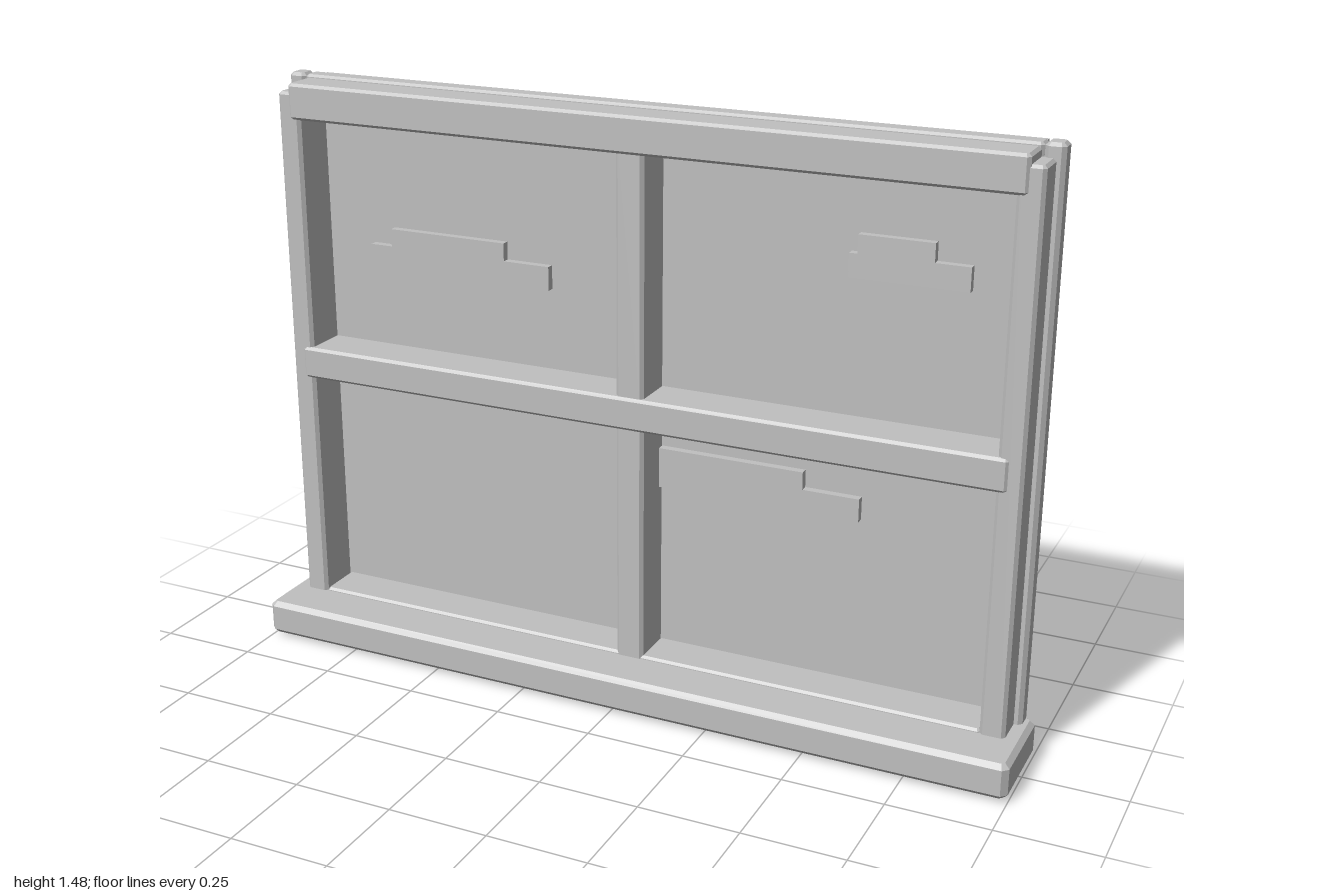
import * as THREE from 'three';

const grey = new THREE.MeshStandardMaterial({ color: 0xc0c0c0 });
grey.name = 'plainGrey';

// Box given by its limits; c chamfers every edge.
function block(parent, name, [x0, x1], [y0, y1], [z0, z1], c = 0) {
  const w = x1 - x0, h = y1 - y0, d = z1 - z0;
  let geo;
  if (c > 0) {
    const a = w / 2 - c, b = d / 2 - c, k = c * 0.6;
    const shape = new THREE.Shape([
      [-a + k, -b], [a - k, -b], [a, -b + k], [a, b - k],
      [a - k, b], [-a + k, b], [-a, b - k], [-a, -b + k],
    ].map(([x, y]) => new THREE.Vector2(x, y)));
    geo = new THREE.ExtrudeGeometry(shape, {
      depth: h - 2 * c, bevelEnabled: true, bevelSize: c, bevelThickness: c, bevelSegments: 1,
    });
    geo.translate(0, 0, -(h - 2 * c) / 2);
    geo.rotateX(-Math.PI / 2);
  } else {
    geo = new THREE.BoxGeometry(w, h, d);
  }
  const mesh = new THREE.Mesh(geo, grey);
  mesh.name = name;
  mesh.position.set((x0 + x1) / 2, (y0 + y1) / 2, (z0 + z1) / 2);
  parent.add(mesh);
  return mesh;
}

export function createModel() {
  const model = new THREE.Group();
  model.name = 'window';

  // backdrop seen through the panes
  block(model, 'backPanel', [-0.92, 0.92], [0.01, 1.465], [-0.143, -0.095]);

  // projecting sill and the foot of the frame below it
  block(model, 'sill', [-1, 1], [0.01, 0.1], [-0.11, 0.143], 0.012);
  block(model, 'frameFoot', [-0.94, 0.94], [0, 0.03], [-0.1, 0.02]);

  // stepped jambs on both sides
  for (const s of [-1, 1]) {
    const side = s < 0 ? 'right' : 'left';
    const span = (a, b) => (s > 0 ? [a, b] : [-b, -a]);
    block(model, side + 'Stile', span(0.897, 0.958), [0, 1.442], [-0.1, 0.022], 0.007);
    block(model, side + 'Casing', span(0.93, 0.977), [0.005, 1.475], [-0.11, -0.058], 0.008);
  }

  // horizontal rails
  block(model, 'header', [-0.93, 0.93], [1.39, 1.473], [-0.108, -0.06], 0.006);
  block(model, 'topRail', [-0.925, 0.925], [1.375, 1.465], [-0.1, 0.028], 0.007);
  block(model, 'middleRail', [-0.925, 0.925], [0.705, 0.787], [-0.1, 0.028], 0.007);
  block(model, 'bottomRail', [-0.9, 0.9], [0.02, 0.108], [-0.1, 0.018], 0.006);

  // central bar, above and below the middle rail
  block(model, 'lowerMullion', [-0.036, 0.036], [0.09, 0.72], [-0.1, 0.02], 0.007);
  block(model, 'upperMullion', [-0.036, 0.036], [0.77, 1.39], [-0.1, 0.02], 0.007);

  // stepped clouds: lower bar span, upper bar span, base, step and top heights
  const clouds = [
    [[-0.767, -0.262], [-0.707, -0.385], 0.993, 1.053, 1.098],
    [[0.503, 0.787], [0.523, 0.703], 1.122, 1.18, 1.225],
    [[-0.055, 0.552], [0, 0.41], 0.53, 0.588, 0.632],
  ];
  for (const [low, high, y0, y1, y2] of clouds) {
    const cloud = new THREE.Group();
    cloud.name = 'cloud';
    block(cloud, 'cloudBase', low, [y0, y1], [-0.1, -0.075]);
    block(cloud, 'cloudTop', high, [y1, y2], [-0.1, -0.075]);
    model.add(cloud);
  }
  return model;
}
